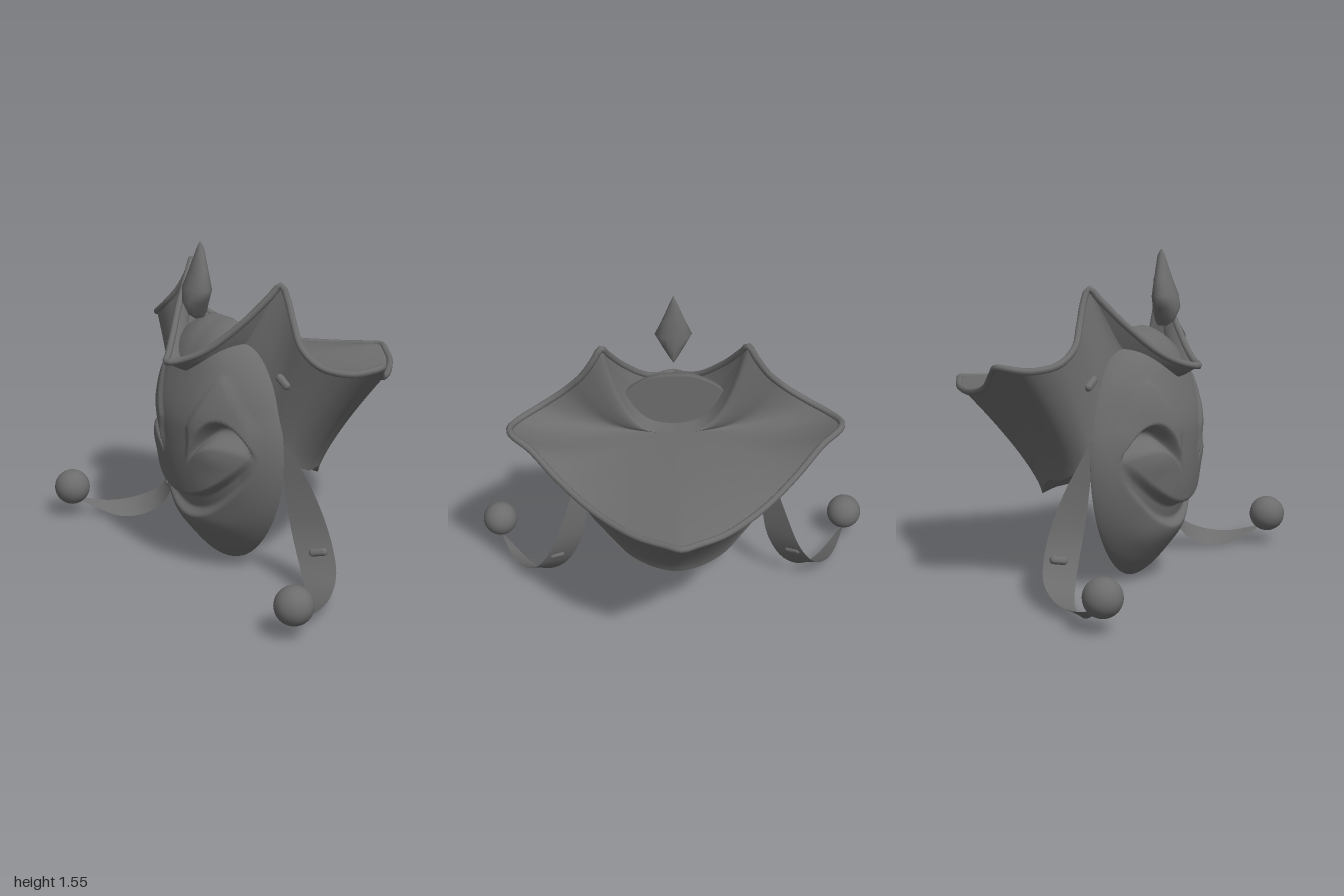
import * as THREE from 'three';
import { RoundedBoxGeometry } from 'three/addons/geometries/RoundedBoxGeometry.js';

const material = new THREE.MeshStandardMaterial({ color: 0x6c6c6c, side: THREE.DoubleSide });
const V = (p) => new THREE.Vector3(...p);
const { lerp, smoothstep, clamp } = THREE.MathUtils;

function part(name, geometry, parent) {
  const mesh = new THREE.Mesh(geometry, material);
  mesh.name = name;
  parent.add(mesh);
  return mesh;
}

// Skin a list of rings (arrays of Vector3 with equal counts)
function loft(rings, closed = true) {
  const n = rings[0].length, pos = [], index = [];
  rings.forEach((ring) => ring.forEach((p) => pos.push(p.x, p.y, p.z)));
  for (let j = 0; j < rings.length - 1; j++) {
    for (let i = 0; i < (closed ? n : n - 1); i++) {
      const k = (i + 1) % n, a = j * n + i, b = j * n + k;
      index.push(a, a + n, b, b, a + n, b + n);
    }
  }
  const g = new THREE.BufferGeometry();
  g.setAttribute('position', new THREE.Float32BufferAttribute(pos, 3));
  g.setIndex(index);
  g.computeVertexNormals();
  return g;
}

// Closed symmetric curve from the points of its +x half
function mirroredLoop(half) {
  const other = half.slice(1, -1).reverse().map(([x, y, z]) => [-x, y, z]);
  return new THREE.CatmullRomCurve3([...half, ...other].map(V), true);
}
const sample = (curve, n) => Array.from({ length: n }, (_, i) => curve.getPoint(i / n));

// Carved relief of the laughing face, added to the domed mask
function faceRelief(x, y) {
  const ax = Math.abs(x);
  const smile = 0.38 + 1.7 * ax * ax;
  const lip = 0.285 + 1.9 * ax * ax;
  const inside = 1 - smoothstep(ax, 0.12, 0.41);
  const aboveLip = smoothstep(y, lip - 0.02, lip + 0.03);
  const aboveSmile = smoothstep(y, smile - 0.012, smile + 0.014);
  let d = 0;
  // raised upper face, overhanging the mouth
  d += 0.034 * aboveSmile * inside * (1 - smoothstep(y, 0.72, 1.0));
  // mouth groove and chin
  d -= 0.02 * aboveLip * (1 - aboveSmile) * (1 - smoothstep(ax, 0.3, 0.39));
  d += 0.025 * Math.exp(-((x / 0.25) ** 2) - (((y - 0.26) / 0.09) ** 2)) * (1 - aboveLip);
  // crescent eyes
  const e = ax - 0.24;
  const upper = 0.77 - (e < 0 ? 9 : 7) * e * e;
  const lower = 0.665 - (e < 0 ? 4.5 : 2) * e * e;
  d -= 0.07 * smoothstep(y, lower - 0.015, lower + 0.06) * (1 - smoothstep(y, upper - 0.035, upper + 0.015));
  // cheeks, nose and pointed brows
  d += 0.01 * Math.exp(-((e / 0.09) ** 2) - (((y - 0.61) / 0.06) ** 2));
  d += 0.006 * Math.exp(-((x / 0.08) ** 2) - (((y - 0.68) / 0.18) ** 2));
  const t = clamp((0.99 - y) / 0.25, 0, 1);
  const left = lerp(0.22, 0.1, t), right = lerp(0.23, 0.38, t);
  d += 0.012 * smoothstep(ax, left - 0.02, left + 0.02) * (1 - smoothstep(ax, right - 0.025, right + 0.025))
    * smoothstep(y, upper - 0.03, upper + 0.02) * (1 - smoothstep(y, 0.95, 1.0));
  return d;
}

// Egg-shaped mask with a flat back
function maskGeometry() {
  const outline = sample(mirroredLoop([
    [0, 1.19, 0], [0.09, 1.185, 0], [0.22, 1.12, 0], [0.33, 1.0, 0], [0.405, 0.85, 0], [0.446, 0.68, 0],
    [0.437, 0.5, 0], [0.375, 0.31, 0], [0.265, 0.15, 0], [0.14, 0.052, 0], [0, 0.013, 0],
  ]), 200);
  const ring = (r, depth) => outline.map((o) => {
    const x = o.x * r, y = 0.62 + (o.y - 0.62) * r;
    return new THREE.Vector3(x, y, depth(x, y, o));
  });
  const rings = [], steps = 96;
  for (let j = 0; j <= steps; j++) {
    const r = 0.002 + 0.998 * Math.sin((j / steps) * Math.PI / 2);
    rings.push(ring(r, (x, y, o) => {
      // the forehead is blunter than the sides and chin
      const k = smoothstep(o.y, 0.8, 1.15);
      const dome = 0.25 * Math.pow(Math.max(0, 1 - Math.pow(r, lerp(2.4, 3.4, k))), lerp(0.72, 0.58, k));
      return 0.292 + dome + faceRelief(x, y) * (1 - smoothstep(r, 0.8, 1));
    }));
  }
  for (const r of [0.35, 0.002]) rings.push(ring(r, () => 0.288));
  return loft(rings);
}

// Five-pointed flaring hat around the mask
function buildHat(parent) {
  const hat = new THREE.Group();
  hat.name = 'hat';
  parent.add(hat);
  const brimCurve = mirroredLoop([
    [0, 1.025, 0.612], [0.06, 1.04, 0.562], [0.14, 1.09, 0.485], [0.25, 1.22, 0.365], [0.315, 1.33, 0.275],
    [0.346, 1.385, 0.23], [0.38, 1.33, 0.222], [0.44, 1.235, 0.235], [0.53, 1.14, 0.258], [0.64, 1.075, 0.235],
    [0.74, 1.055, 0.15], [0.778, 1.065, 0.06], [0.765, 1.065, 0], [0.68, 1.03, -0.07], [0.55, 0.94, -0.19],
    [0.385, 0.885, -0.37], [0.2, 0.875, -0.55], [0.07, 0.885, -0.635], [0, 0.89, -0.672],
  ]);
  const hemCurve = mirroredLoop([
    [0, 0.95, 0.45], [0.04, 0.96, 0.43], [0.08, 0.96, 0.41], [0.14, 0.95, 0.37], [0.19, 0.92, 0.35],
    [0.25, 0.88, 0.33], [0.31, 0.82, 0.318], [0.365, 0.76, 0.31], [0.42, 0.69, 0.3], [0.45, 0.63, 0.275],
    [0.452, 0.57, 0.22], [0.435, 0.53, 0.15], [0.41, 0.515, 0.1], [0.37, 0.505, 0.04], [0.31, 0.47, -0.02],
    [0.23, 0.415, -0.08], [0.13, 0.383, -0.13], [0.05, 0.377, -0.16], [0, 0.377, -0.17],
  ]);
  const n = 180, steps = 18;
  const brim = sample(brimCurve, n), hem = sample(hemCurve, n);
  // rings between two loops, with separate easing for plan and height
  const rings = (a, b, plan, height) => Array.from({ length: steps + 1 }, (_, j) => {
    const f = plan(j / steps), g = height(j / steps);
    return a.map((p, i) => new THREE.Vector3(lerp(p.x, b[i].x, f), lerp(p.y, b[i].y, g), lerp(p.z, b[i].z, f)));
  });
  const centre = brim.map(() => V([0, 0.93, 0.2]));
  const underCentre = brim.map(() => V([0, 0.6, 0.26]));
  part('hatWall', loft(rings(hem, brim, (t) => Math.pow(t, 1.3), (t) => t)), hat);
  part('hatTop', loft(rings(brim, centre, (t) => 0.999 * t, (t) => 1 - Math.pow(1 - t, 3.4))), hat);
  part('hatUnderside', loft(rings(underCentre, hem, (t) => 0.001 + 0.999 * t, (t) => t)), hat);
  part('hatBrim', new THREE.TubeGeometry(brimCurve, 220, 0.016, 8, true), hat);
}

// Small pill-shaped stud whose length follows an axis on a surface
function stud(name, position, axis, normal, parent) {
  const mesh = part(name, new RoundedBoxGeometry(0.085, 0.036, 0.036, 3, 0.016), parent);
  const x = V(axis).normalize();
  const y = V(normal).cross(x).normalize();
  mesh.quaternion.setFromRotationMatrix(new THREE.Matrix4().makeBasis(x, y, x.clone().cross(y)));
  mesh.position.set(...position);
}

// Hanging ribbon with a ball at its end; s is the side
function buildRibbon(s, parent) {
  const group = new THREE.Group();
  group.name = s > 0 ? 'leftRibbon' : 'rightRibbon';
  parent.add(group);
  const m = ([x, y, z]) => [s * x, y, z];
  const edge = (pts) => new THREE.CatmullRomCurve3(pts.map((p) => V(m(p)))).getPoints(36);
  const outer = edge([[0.46, 0.7, 0.29], [0.55, 0.45, 0.195], [0.63, 0.25, 0.165], [0.71, 0.13, 0.2],
    [0.79, 0.07, 0.3], [0.85, 0.06, 0.42], [0.9, 0.09, 0.55]]);
  const inner = edge([[0.44, 0.64, 0.3], [0.445, 0.4, 0.275], [0.48, 0.24, 0.265], [0.56, 0.1, 0.28],
    [0.66, 0.022, 0.33], [0.75, 0.004, 0.42], [0.88, 0.07, 0.55]]);
  part('strap', loft([outer, inner], false), group);
  part('ball', new THREE.SphereGeometry(0.088, 28, 18), group).position.set(s * 0.907, 0.157, 0.597);
  stud('strapStud', m([0.6, 0.2, 0.215]), m([0.8, 0.2, -0.55]), m([0.5, 0.35, 0.7]), group);
  stud('hatStud', m([0.435, 0.975, 0.288]), m([0.85, -0.55, -0.1]), m([0.35, 0.1, 0.9]), group);
}

// Floating gem: rows of height, half width, back z, front z
function gemGeometry() {
  const rows = [[1.2, 0.002, 0.405, 0.45], [1.225, 0.022, 0.39, 0.488], [1.285, 0.06, 0.385, 0.512],
    [1.34, 0.09, 0.387, 0.496], [1.42, 0.055, 0.392, 0.469], [1.52, 0.016, 0.402, 0.438], [1.55, 0.002, 0.418, 0.424]];
  return loft(rows.map(([y, w, back, front]) => Array.from({ length: 16 }, (_, i) => {
    const a = (i / 16) * Math.PI * 2;
    return new THREE.Vector3(w * Math.sin(a), y, (front + back) / 2 + (front - back) / 2 * Math.cos(a));
  })).reverse());
}

export function createModel() {
  const model = new THREE.Group();
  model.name = 'jesterMask';
  part('mask', maskGeometry(), model);
  buildHat(model);
  for (const s of [1, -1]) buildRibbon(s, model);
  part('gem', gemGeometry(), model);
  return model;
}
